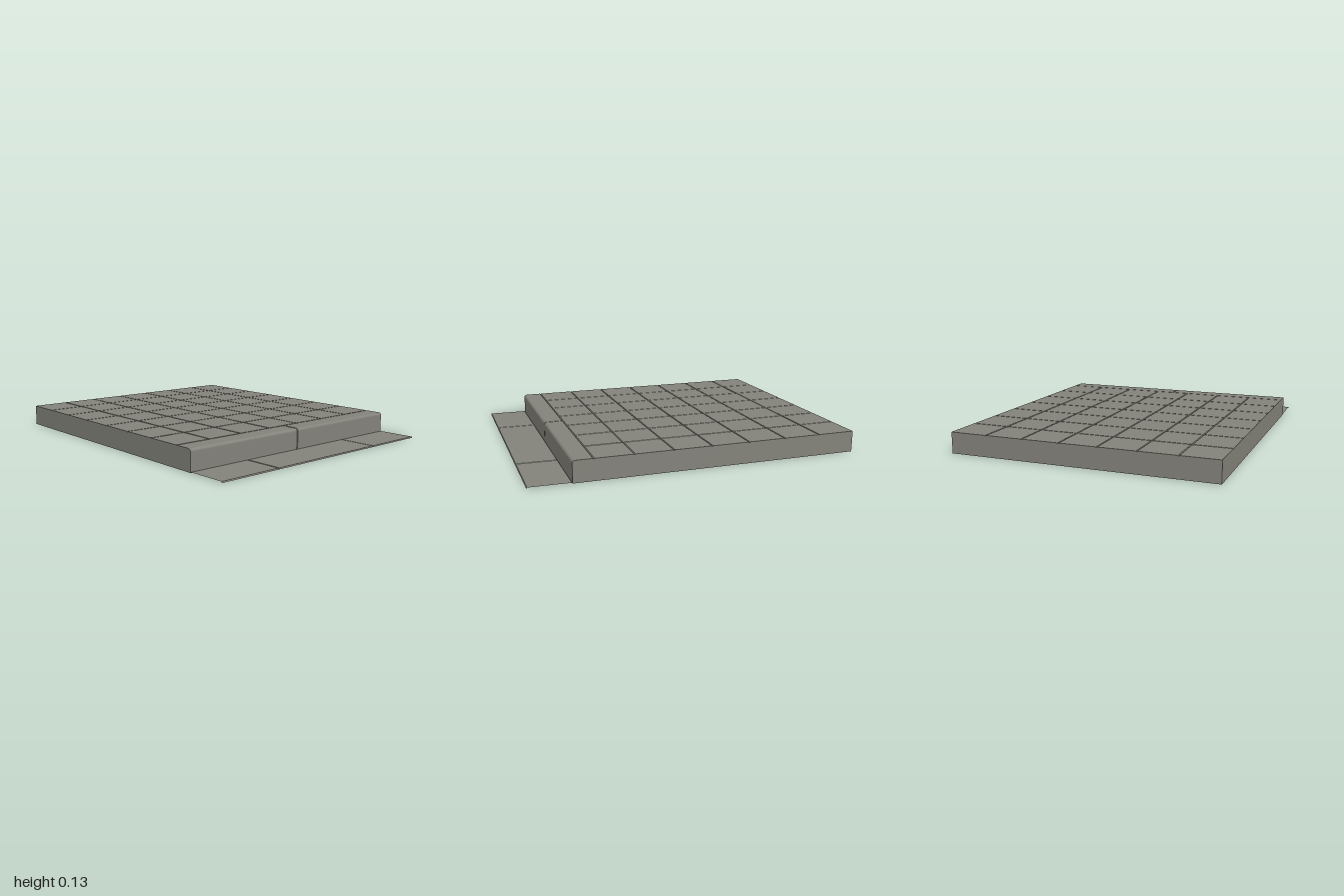
import * as THREE from 'three';

const W = 0.815, H = 0.13;           // half width, slab height
const BACK = -1, SEAM = 0.63, CURB = 0.75, FRONT = 1;
const G = 0.004, D = 0.006;          // joint half width and depth
const GUTTER = 0.007;                // gutter surface height

// Surface through rows of points, flat shaded
function loft(rows) {
  const n = rows[0].length, pos = rows.flat(2), idx = [];
  for (let r = 0; r < rows.length - 1; r++) {
    for (let c = 0; c < n - 1; c++) {
      const a = r * n + c, b = a + n;
      idx.push(a, b, a + 1, b, b + 1, a + 1);
    }
  }
  const indexed = new THREE.BufferGeometry();
  indexed.setAttribute('position', new THREE.Float32BufferAttribute(pos, 3));
  indexed.setIndex(idx);
  const geometry = indexed.toNonIndexed();
  geometry.computeVertexNormals();
  return geometry;
}

// Stations along an axis as [position, sunk depth], with a V joint at each seam
function stations(from, to, joints) {
  const list = [[from, 0]];
  for (const j of joints) list.push([j - G, 0], [j, D], [j + G, 0]);
  list.push([to, 0]);
  return list;
}

export function createModel() {
  const group = new THREE.Group();
  const concrete = new THREE.MeshStandardMaterial({
    color: 0x83827a, side: THREE.DoubleSide, flatShading: true,
  });
  concrete.name = 'grey concrete';

  const add = (name, geometry) => {
    const mesh = new THREE.Mesh(geometry, concrete);
    mesh.name = name;
    group.add(mesh);
    return mesh;
  };

  // Seven by seven square paving slabs with V joints
  const step = 2 * W / 7;
  const inner = [1, 2, 3, 4, 5, 6];
  const xs = stations(-W, W, inner.map(i => -W + i * step));
  const zs = stations(BACK, SEAM, inner.map(i => BACK + i * step));
  zs.pop();
  zs.push([SEAM - G, 0], [SEAM, D]);
  add('pavingSlabs', loft(zs.map(([z, dz]) =>
    xs.map(([x, dx]) => [x, H - Math.max(dx, dz), z]))));

  // Back wall, following the joints
  add('backWall', loft([
    xs.map(([x, d]) => [x, H - d, BACK]),
    xs.map(([x]) => [x, 0, BACK]),
  ]));

  // Kerb section from the seam forward over the rounded edge to the ground
  const R = 0.016;
  const section = inset => {
    const pts = [[SEAM, H - D], [SEAM + G, H - inset]];
    for (let i = 0; i <= 4; i++) {
      const a = i / 4 * Math.PI / 2;
      pts.push([CURB - R + R * Math.sin(a) - inset, H - R + R * Math.cos(a) - inset]);
    }
    pts.push([CURB - inset, 0]);
    return pts;
  };
  const sectionAt = (x, inset) => section(inset).map(([z, y]) => [x, y, z]);

  for (const [side, name] of [[1, 'left'], [-1, 'right']]) {
    // Kerb stone, tapering into the centre joint
    add(name + 'KerbStone', loft([
      sectionAt(side * W, 0), sectionAt(side * G, 0), sectionAt(0, D),
    ]));
    // Side wall under slabs and kerb
    const top = [...zs.map(([z, d]) => [z, H - d]), ...section(0).slice(1, -1)];
    add(name + 'SideWall', loft([
      top.map(([z, y]) => [side * W, y, z]),
      top.map(([z]) => [side * W, 0, z]),
    ]));
  }

  // Inner end face of the kerb stones at the centre joint
  const end = section(D).slice(0, -1);
  add('kerbEndFace', loft([
    end.map(([z, y]) => [0, y, z]),
    end.map(([z]) => [0, 0, z]),
  ]));

  // Gutter strip in three stones with a thin front lip
  const gx = stations(-W, W, [-W / 2, W / 2]);
  add('gutter', loft([
    gx.map(([x]) => [x, 0, CURB]),
    gx.map(([x, d]) => [x, GUTTER - 0.002 - d * 0.7, CURB + G]),
    gx.map(([x, d]) => [x, GUTTER - d, FRONT - G]),
    gx.map(([x]) => [x, 0, FRONT]),
  ]));

  return group;
}
